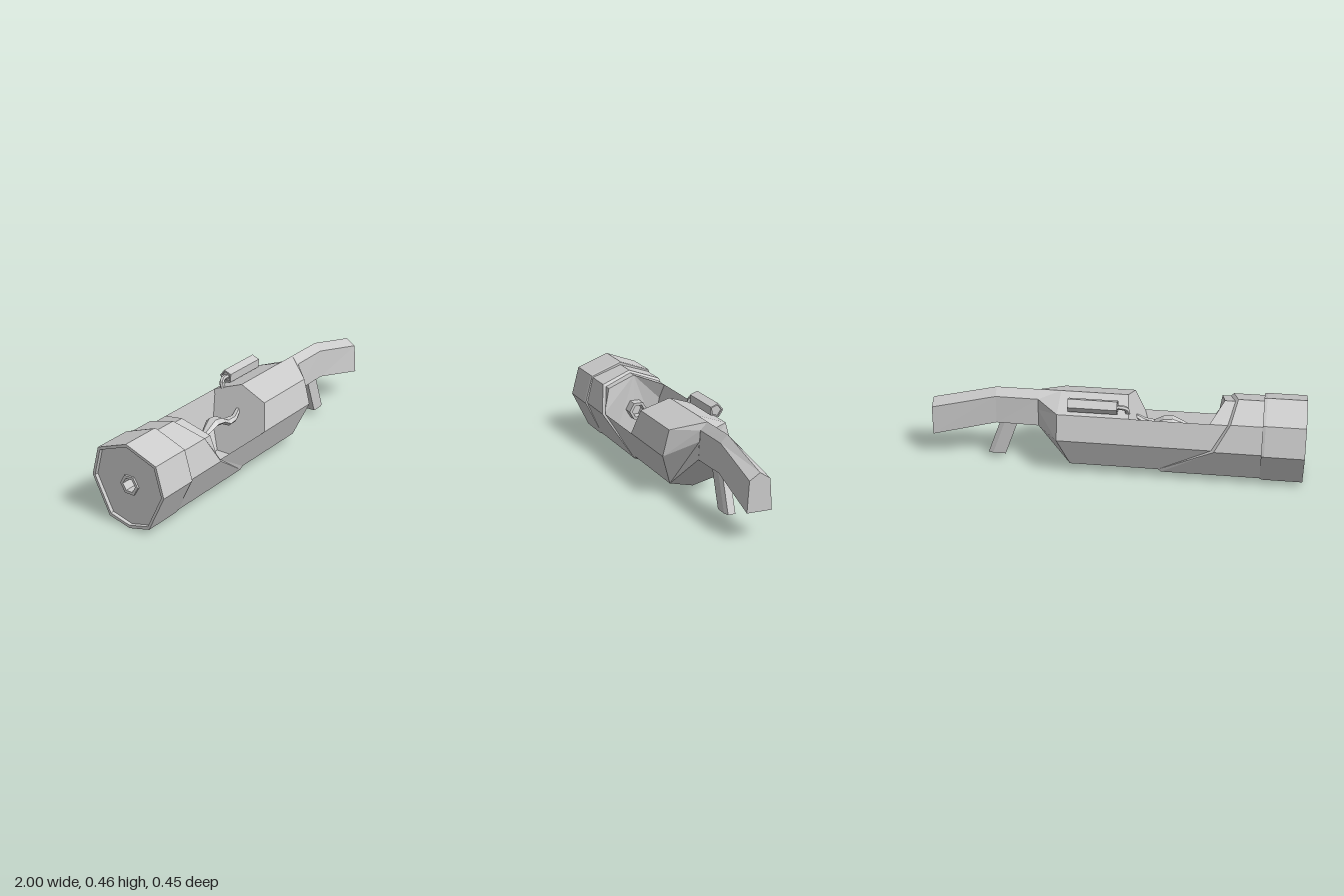
import * as THREE from 'three';

const mat = new THREE.MeshStandardMaterial({ color: 0xcccccc, flatShading: true, side: THREE.DoubleSide });

// Eight-sided sections as [z, y]: ridge, shoulder, side, lower edge, keel, then mirrored
const section = (half) => [...half, ...half.slice(1, -1).reverse().map(([z, y]) => [-z, y])];
const MUZZLE = section([[0, 0.46], [0.18, 0.393], [0.223, 0.235], [0.125, 0.035], [0, 0.003]]);
const SLEEVE = section([[0, 0.442], [0.172, 0.383], [0.21, 0.235], [0.128, 0.045], [0, 0.018]]);
const BODY = section([[0, 0.43], [0.16, 0.373], [0.196, 0.235], [0.13, 0.06], [0, 0.03]]);

// Place a section along x; xs is one number or one per point
const ring = (sec, xs) => sec.map(([z, y], i) => new THREE.Vector3(Array.isArray(xs) ? xs[i] : xs, y, z));
const mirrorX = (a) => [...a, ...a.slice(1, -1).reverse()];
const pick = (r, ids) => ids.map((i) => r[i]);
const inset = (sec, s) => sec.map(([z, y]) => [z * s, 0.235 + (y - 0.235) * s]);

function meshOf(points, name) {
  const g = new THREE.BufferGeometry().setFromPoints(points);
  g.computeVertexNormals();
  const m = new THREE.Mesh(g, mat);
  m.name = name;
  return m;
}

const fanPoints = (r, facingPlusX) => {
  const out = [];
  for (let i = 1; i < r.length - 1; i++) {
    out.push(r[0], ...(facingPlusX ? [r[i + 1], r[i]] : [r[i], r[i + 1]]));
  }
  return out;
};

// Skin consecutive rings with quads, optionally closing the loop and the ends
function loft(name, rings, { closed = true, capStart = false, capEnd = false } = {}) {
  const pts = [];
  for (let k = 0; k < rings.length - 1; k++) {
    const a = rings[k], b = rings[k + 1], n = a.length;
    for (let i = 0; i < (closed ? n : n - 1); i++) {
      const j = (i + 1) % n;
      pts.push(a[i], a[j], b[i], a[j], b[j], b[i]);
    }
  }
  if (capStart) pts.push(...fanPoints(rings[0], false));
  if (capEnd) pts.push(...fanPoints(rings[rings.length - 1], true));
  return meshOf(pts, name);
}

const polygon = (n, r, cz, cy, turn = 0) => Array.from({ length: n }, (_, i) => {
  const a = turn - (i / n) * Math.PI * 2;
  return [cz + r * Math.cos(a), cy + r * Math.sin(a)];
});

// Extrude a [z, y] outline with a hole between two x positions
function holedPrism(name, outline, hole, x0, x1) {
  const v = (p) => p.map(([z, y]) => new THREE.Vector2(z, y));
  const shape = new THREE.Shape(v(outline));
  shape.holes.push(new THREE.Path(v(hole)));
  const g = new THREE.ExtrudeGeometry(shape, { depth: x1 - x0, bevelEnabled: false });
  g.rotateY(-Math.PI / 2).translate(x1, 0, 0);
  const m = new THREE.Mesh(g, mat);
  m.name = name;
  return m;
}

export function createModel() {
  const model = new THREE.Group();
  model.name = 'launcher';

  // Muzzle band with a shallow recess in its face
  model.add(loft('muzzleBand', [
    ring(inset(MUZZLE, 0.93), -0.98), ring(inset(MUZZLE, 0.93), -1), ring(MUZZLE, -1),
    ring(MUZZLE, -0.79), ring(inset(MUZZLE, 0.985), -0.775), ring(SLEEVE, -0.775),
  ]));
  const hex = (r) => polygon(6, r, 0, 0.235);
  model.add(holedPrism('muzzlePlate', inset(MUZZLE, 0.93), hex(0.045), -0.98, -0.94));
  model.add(holedPrism('innerBarrel', hex(0.055), hex(0.038), -0.99, -0.5));

  // Sleeve with a raked rear edge
  const rake = mirrorX([-0.64, -0.61, -0.53, -0.25, -0.2]);
  model.add(loft('frontSleeve', [
    ring(SLEEVE, -0.78), ring(SLEEVE, rake), ring(BODY, rake.map((x) => x + 0.015)),
  ]));

  // Body: lower hull, plus roof pieces either side of the breech opening
  const start = ring(BODY, -0.78);
  const end = ring(BODY, mirrorX([0.3, 0.3, 0.3, 0.24, 0.24]));
  const frontCut = ring(BODY, [-0.57, -0.55, -0.53, -0.55, -0.55, -0.55, -0.53, -0.5]);
  const rearCut = ring(BODY, BODY.map(([, y]) => -0.13 + (y - 0.235) * 0.36));
  const low = [2, 3, 4, 5, 6, 7], roof = [7, 0, 1, 2];
  model.add(loft('lowerHull', [pick(start, low), pick(end, low)], { closed: false }));
  model.add(loft('frontRoof', [pick(start, roof), pick(frontCut, roof)], { closed: false }));
  model.add(loft('rearRoof', [pick(rearCut, roof), pick(end, roof)], { closed: false }));
  model.add(meshOf(fanPoints(frontCut, true), 'frontBulkhead'));
  model.add(meshOf(fanPoints(rearCut, false), 'rearBulkhead'));

  // Breech tray, higher on the back side
  const tray = [[0.196, 0.235], [0.12, 0.075], [-0.07, 0.075], [-0.13, 0.2], [-0.16, 0.373]];
  model.add(loft('breechTray', [ring(tray, -0.09), ring(tray, -0.56)], { closed: false }));

  // Taper from the body into the neck of the stock
  const neck = ring([[0, 0.43], [0.04, 0.39], [0.045, 0.33], [0.05, 0.235], [0, 0.235],
    [-0.05, 0.235], [-0.045, 0.33], [-0.04, 0.39]], 0.42);
  model.add(loft('bodyTaper', [end, neck]));

  // Stock: house-shaped section bending downward
  const stock = [[0.42, 0.43, 0.39, 0.04, 0.235, 0.05], [0.65, 0.43, 0.39, 0.038, 0.235, 0.045],
    [1, 0.345, 0.31, 0.055, 0.15, 0.066]];
  model.add(loft('stock', stock.map(([x, top, sy, sz, by, bz]) =>
    ring([[0, top], [sz, sy], [bz, by], [-bz, by], [-sz, sy]], x)), { capEnd: true }));

  // Raked grip
  const gripOutline = [[-0.048, 0.03], [0.022, 0.03], [0.048, 0.02], [0.048, -0.02], [0.022, -0.03], [-0.048, -0.03]];
  const gripRing = (cx, y) => gripOutline.map(([x, z]) => new THREE.Vector3(cx + x, y, z));
  const grip = [gripRing(0.66, 0.032), gripRing(0.58, 0.25)];
  const gripMesh = loft('grip', grip);
  model.add(gripMesh, meshOf(fanPoints(grip[0], true), 'gripBase'));

  // Five-sided sight on the back shoulder, with stepped ends
  const pent = (r, x) => ring(polygon(5, r, -0.134, 0.425, 1.84), x);
  model.add(loft('sideSight', [
    pent(0.024, -0.008), pent(0.03, -0.008), pent(0.03, -0.018), pent(0.039, -0.018),
    pent(0.039, 0.243), pent(0.03, 0.243), pent(0.03, 0.233), pent(0.024, 0.233),
  ], { capStart: true, capEnd: true }));

  // Small hooked cable from the sight down to the body
  const cable = new THREE.CatmullRomCurve3([
    [0, 0.422, -0.134], [-0.04, 0.425, -0.134], [-0.068, 0.41, -0.125], [-0.066, 0.37, -0.112],
  ].map((p) => new THREE.Vector3(...p)));
  const hook = new THREE.Mesh(new THREE.TubeGeometry(cable, 8, 0.013, 6), mat);
  hook.name = 'sightCable';
  model.add(hook);

  // Curved leaf-shaped lever: x, centre y, centre z, half height, half width
  const lever = [[-0.415, 0.25, 0, 0.006, 0.006], [-0.36, 0.272, -0.008, 0.018, 0.026],
    [-0.3, 0.298, -0.014, 0.022, 0.04], [-0.25, 0.293, -0.012, 0.02, 0.044],
    [-0.2, 0.265, 0, 0.018, 0.034], [-0.15, 0.27, 0.012, 0.018, 0.02],
    [-0.115, 0.293, 0.008, 0.016, 0.016], [-0.085, 0.305, -0.002, 0.012, 0.012]];
  model.add(loft('breechLever', lever.map(([x, y, z, h, w]) =>
    ring(polygon(6, 1, 0, 0).map(([a, b]) => [z + a * w, y + b * h]), x)),
  { capStart: true, capEnd: true }));

  return model;
}
